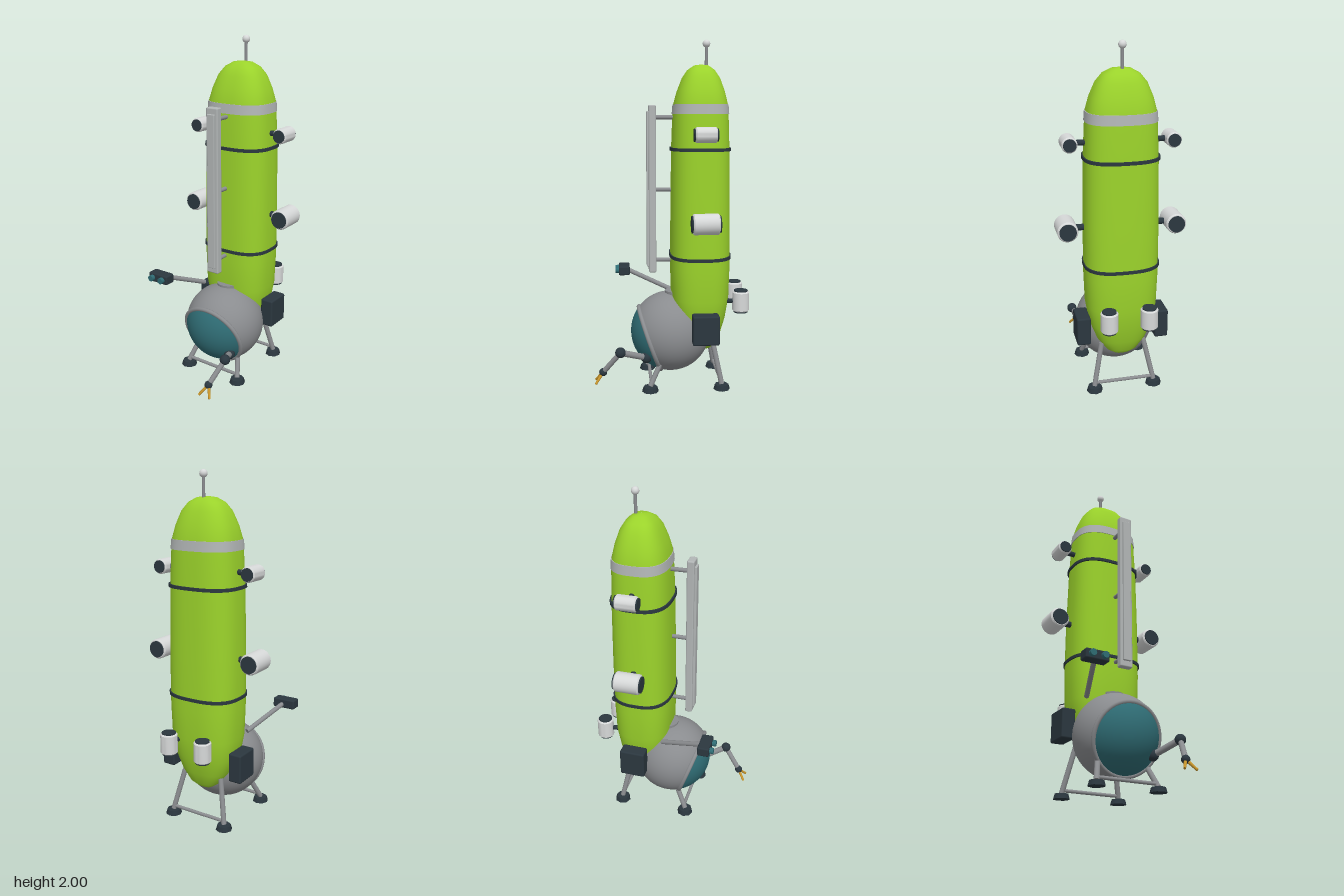
import * as THREE from 'three';
import { toCreasedNormals } from 'three/addons/utils/BufferGeometryUtils.js';
import { RoundedBoxGeometry } from 'three/addons/geometries/RoundedBoxGeometry.js';

const mat = (name, color) => {
  const m = new THREE.MeshStandardMaterial({ color });
  m.name = name;
  return m;
};
const V = (x, y, z) => new THREE.Vector3(x, y, z);

// hull stations: height, half width, half depth, centre z
const STATIONS = [
  [0.19, 0.001, 0.001, -0.2], [0.2, 0.05, 0.04, -0.198], [0.23, 0.093, 0.075, -0.192],
  [0.3, 0.145, 0.113, -0.18], [0.4, 0.184, 0.147, -0.173], [0.52, 0.204, 0.167, -0.172],
  [0.7, 0.21, 0.172, -0.172], [1.0, 0.21, 0.17, -0.172], [1.38, 0.203, 0.165, -0.171],
  [1.58, 0.193, 0.158, -0.171], [1.64, 0.188, 0.153, -0.171], [1.71, 0.169, 0.135, -0.172],
  [1.785, 0.137, 0.107, -0.173], [1.83, 0.1, 0.077, -0.173], [1.855, 0.054, 0.042, -0.174],
  [1.862, 0.001, 0.001, -0.174],
];

// hull size at a height, grown by an offset
function station(y, grow = 0) {
  let i = 1;
  while (i < STATIONS.length - 1 && STATIONS[i][0] < y) i++;
  const a = STATIONS[i - 1], b = STATIONS[i];
  const k = (y - a[0]) / (b[0] - a[0]);
  const at = (n) => a[n] + (b[n] - a[n]) * k;
  return [y, at(1) + grow, at(2) + grow, at(3)];
}

// skin a stack of rounded-rectangle sections
function loft(rows, seg = 64) {
  const pos = [], index = [];
  const p = (v) => Math.sign(v) * Math.pow(Math.abs(v), 2 / 2.7);
  rows.forEach(([y, hx, hz, zc], j) => {
    for (let i = 0; i < seg; i++) {
      const t = (i / seg) * Math.PI * 2;
      pos.push(hx * p(Math.cos(t)), y, zc + hz * p(Math.sin(t)));
      if (j === rows.length - 1) continue;
      const a = j * seg + i, b = j * seg + ((i + 1) % seg);
      index.push(a, a + seg, b, b, a + seg, b + seg);
    }
  });
  const g = new THREE.BufferGeometry();
  g.setAttribute('position', new THREE.Float32BufferAttribute(pos, 3));
  g.setIndex(index);
  g.computeVertexNormals();
  return g;
}

export function createModel() {
  const root = new THREE.Group();
  root.name = 'submersible';
  const lime = mat('lime hull', 0x9bd32b);
  const grey = mat('mid grey', 0x8a8c8f);
  const pale = mat('pale grey', 0xb2b6b6);
  const white = mat('off white', 0xd6d8d8);
  const dark = mat('dark slate', 0x2b373f);
  const teal = mat('teal glass', 0x2f6c74);
  const gold = mat('gold', 0xc8962c);

  const add = (name, geo, material, x = 0, y = 0, z = 0, parent = root) => {
    const m = new THREE.Mesh(geo, material);
    m.name = name;
    m.position.set(x, y, z);
    parent.add(m);
    return m;
  };
  const rod = (name, a, b, r, material, sides = 16, r2 = r) => {
    const d = b.clone().sub(a);
    const m = add(name, new THREE.CylinderGeometry(r2, r, d.length(), sides), material);
    m.position.copy(a).addScaledVector(d, 0.5);
    m.quaternion.setFromUnitVectors(V(0, 1, 0), d.normalize());
    return m;
  };
  const ball = (name, c, r, material) =>
    add(name, new THREE.SphereGeometry(r, 20, 14), material, c.x, c.y, c.z);
  const box = (name, w, h, d, r, material, x, y, z) =>
    add(name, new RoundedBoxGeometry(w, h, d, 2, r), material, x, y, z);

  // hull and its bands
  add('hull', loft(STATIONS), lime);
  const band = (name, y0, y1, grow, material) => {
    const rows = [station(y0, -0.004), station(y0, grow), station(y1, grow), station(y1, -0.004)];
    add(name, toCreasedNormals(loft(rows), 0.7), material);
  };
  band('collarBand', 1.583, 1.637, 0.004, pale);
  band('upperStrap', 1.376, 1.394, 0.009, dark);
  band('lowerStrap', 0.757, 0.775, 0.007, dark);

  // mast
  rod('mast', V(0, 1.83, -0.205), V(0, 1.975, -0.205), 0.009, grey);
  ball('mastTip', V(0, 1.978, -0.205), 0.022, white);

  // cabin sphere with a downward-tilted window
  const cabin = new THREE.Group();
  cabin.name = 'cabin';
  cabin.position.set(0, 0.305, 0);
  cabin.rotation.x = 1.91;
  root.add(cabin);
  const R = 0.235, cut = 0.985;
  add('cabinShell', new THREE.SphereGeometry(R, 48, 32, 0, Math.PI * 2, cut, Math.PI - cut), grey, 0, 0, 0, cabin);
  add('window', new THREE.SphereGeometry(R, 48, 16, 0, Math.PI * 2, 0, cut), teal, 0, 0, 0, cabin);
  const rim = add('windowRim', new THREE.TorusGeometry(R * Math.sin(cut), 0.013, 12, 56), grey, 0, R * Math.cos(cut), 0, cabin);
  rim.rotation.x = Math.PI / 2;
  add('hatch', new THREE.CylinderGeometry(0.066, 0.066, 0.04, 32), grey, 0, 0.53, -0.034);

  // front rail on three struts
  box('rail', 0.078, 0.97, 0.042, 0.008, pale, 0, 1.15, 0.106);
  box('railStrip', 0.048, 0.9, 0.02, 0.004, pale, 0, 1.15, 0.129);
  for (const y of [0.735, 1.15, 1.565]) rod('railStrut', V(0, y, -0.03), V(0, y, 0.09), 0.012, grey);

  // ducted thruster along its local y axis
  const thruster = (name, r, len, pos, alongZ) => {
    const g = new THREE.Group();
    g.name = name;
    g.position.copy(pos);
    if (alongZ) g.rotation.x = Math.PI / 2;
    root.add(g);
    const h = len / 2, b = 0.007;
    const profile = [[0, -h], [r - b, -h], [r, -h + b], [r, h - b], [r - b, h], [0, h]]
      .map(([x, y]) => new THREE.Vector2(x, y));
    add('duct', toCreasedNormals(new THREE.LatheGeometry(profile, 32), 0.5), white, 0, 0, 0, g);
    add('intakes', new THREE.CylinderGeometry(r * 0.82, r * 0.82, len + 0.014, 28), dark, 0, 0, 0, g);
  };

  for (const s of [-1, 1]) {
    thruster('upperThruster', 0.043, 0.118, V(s * 0.286, 1.47, -0.17), true);
    rod('upperThrusterStrut', V(s * 0.17, 1.47, -0.171), V(s * 0.26, 1.47, -0.171), 0.016, dark);
    thruster('lowerThruster', 0.058, 0.146, V(s * 0.308, 0.99, -0.171), true);
    rod('lowerThrusterStrut', V(s * 0.18, 0.99, -0.171), V(s * 0.27, 0.99, -0.171), 0.018, dark);
    thruster('rearThruster', 0.049, 0.118, V(s * 0.114, 0.506, -0.402), false);
    rod('rearThrusterStrut', V(s * 0.1, 0.506, -0.29), V(s * 0.112, 0.506, -0.37), 0.014, dark);

    // side pods
    box('sidePod', 0.08, 0.17, 0.152, 0.01, dark, s * 0.23, 0.375, -0.183);

    // legs and feet
    const legs = [
      [V(s * 0.13, 0.2, 0.045), V(s * 0.182, 0.03, 0.13)],
      [V(s * 0.125, 0.28, -0.235), V(s * 0.178, 0.03, -0.285)],
    ];
    for (const [top, foot] of legs) {
      rod('leg', top, foot, 0.015, grey);
      add('foot', new THREE.CylinderGeometry(0.04, 0.048, 0.028, 8), dark, foot.x, 0.014, foot.z);
    }
  }
  rod('frontCrossbar', V(-0.18, 0.047, 0.123), V(0.18, 0.047, 0.123), 0.01, grey);
  rod('rearCrossbar', V(-0.175, 0.047, -0.282), V(0.175, 0.047, -0.282), 0.01, grey);

  // gripper arm
  const shoulder = V(0.14, 0.187, 0.15), elbow = V(0.214, 0.246, 0.3), wrist = V(0.171, 0.118, 0.4);
  ball('shoulder', shoulder, 0.032, dark);
  rod('upperArm', shoulder, elbow, 0.018, grey);
  ball('elbow', elbow, 0.03, dark);
  rod('forearm', elbow, wrist, 0.015, grey);
  ball('wrist', wrist, 0.023, dark);
  for (const s of [-1, 1]) {
    rod('gripperFinger', wrist, V(wrist.x + s * 0.038, 0.062, 0.442), 0.009, gold, 8, 0.007);
  }

  // camera arm
  rod('cameraArm', V(-0.17, 0.51, -0.02), V(-0.265, 0.62, 0.25), 0.014, grey);
  box('cameraHousing', 0.138, 0.056, 0.068, 0.009, dark, -0.272, 0.622, 0.27);
  for (const x of [-0.308, -0.237]) rod('cameraLens', V(x, 0.622, 0.29), V(x, 0.622, 0.326), 0.018, teal, 20);

  return root;
}
